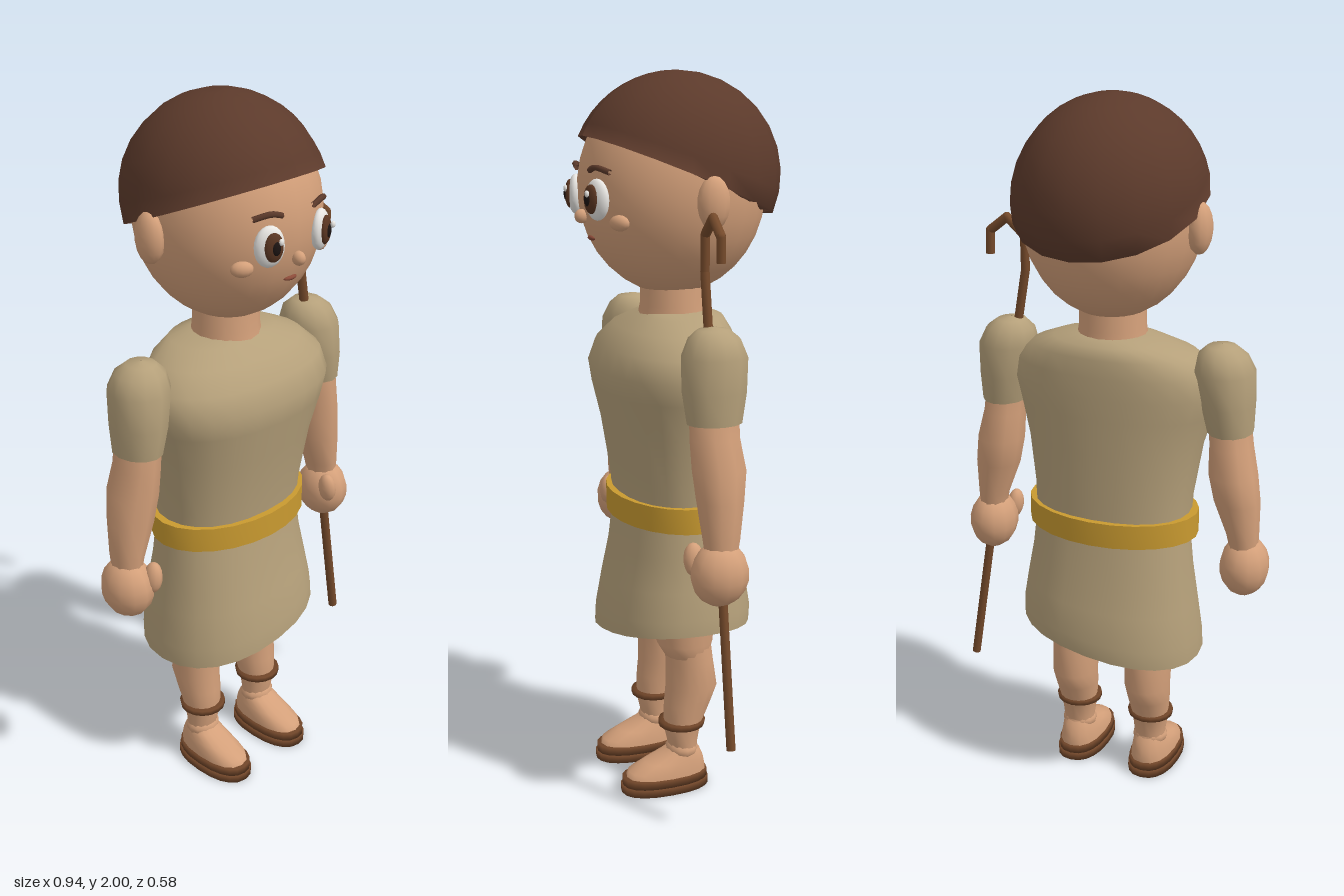
import * as THREE from 'three';

const mat = (name, color, side = THREE.FrontSide) => {
  const m = new THREE.MeshStandardMaterial({ color, side });
  m.name = name;
  return m;
};

// Stacks oval sections, bottom to top: [y, centreX, halfWidth, frontZ, backZ]
function loft(rows, seg = 16, power = 1) {
  const pos = [], idx = [];
  const bend = v => Math.sign(v) * Math.abs(v) ** power;
  rows.forEach(([y, cx, rx, zf, zb]) => {
    for (let j = 0; j < seg; j++) {
      const a = (j / seg) * Math.PI * 2;
      pos.push(cx + rx * bend(Math.sin(a)), y, (zf + zb) / 2 + ((zf - zb) / 2) * bend(Math.cos(a)));
    }
  });
  for (let i = 0; i < rows.length - 1; i++) {
    for (let j = 0; j < seg; j++) {
      const a = i * seg + j, b = i * seg + (j + 1) % seg;
      idx.push(a, b, a + seg, b, b + seg, a + seg);
    }
  }
  const g = new THREE.BufferGeometry();
  g.setAttribute('position', new THREE.Float32BufferAttribute(pos, 3));
  g.setIndex(idx);
  g.computeVertexNormals();
  return g;
}

export function createModel() {
  const skin = mat('skin', 0xd4a07a);
  const hairBrown = mat('hairBrown', 0x5c3a2b, THREE.DoubleSide);
  const cloth = mat('cloth', 0xb5a07a, THREE.DoubleSide);
  const gold = mat('gold', 0xc99a30, THREE.DoubleSide);
  const leather = mat('leather', 0x6e4428);
  const wood = mat('wood', 0x754a2b);
  const white = mat('eyeWhite', 0xf0eeea);
  const iris = mat('iris', 0x5a3622);
  const black = mat('pupil', 0x1c1412);
  const lip = mat('lip', 0x8a4a38);

  const model = new THREE.Group();
  const body = new THREE.Group();
  body.name = 'body';
  body.position.x = -0.013;
  model.add(body);

  const add = (name, geo, material, parent = body) => {
    const m = new THREE.Mesh(geo, material);
    m.name = name;
    parent.add(m);
    return m;
  };
  const ball = (name, material, [x, y, z], [rx, ry, rz], yaw = 0, seg = 12) => {
    const m = add(name, new THREE.SphereGeometry(1, seg, Math.ceil(seg * 0.7)), material);
    m.position.set(x, y, z);
    m.scale.set(rx, ry, rz);
    m.rotation.y = yaw;
    return m;
  };

  // Head and neck
  ball('head', skin, [0, 1.695, 0.002], [0.243, 0.287, 0.256], 0, 24);
  add('neck', loft([[1.33, 0, 0.1, 0.1, -0.1], [1.38, 0, 0.093, 0.09, -0.09], [1.47, 0, 0.09, 0.088, -0.088]]), skin);

  // Hair cap: a dome cut along a plane that drops to the back, with a turned-in rim
  const hair = new THREE.SphereGeometry(1, 18, 10);
  const hp = hair.attributes.position;
  for (let i = 0; i < hp.count; i++) {
    const row = Math.floor(i / 19), a = ((i % 19) / 18) * Math.PI * 2;
    const end = Math.atan2(0.275, 0.118 * Math.cos(a));
    const t = end * Math.min(row, 9) / 9, k = row === 10 ? 0.88 : 1;
    hp.setXYZ(i, 0.26 * Math.sin(t) * Math.sin(a) * k, 1.725 + 0.275 * Math.cos(t),
      -0.01 + 0.285 * Math.sin(t) * Math.cos(a) * k);
  }
  // the sweep runs opposite to the sphere's own, so flip its faces
  const hi = hair.index;
  const v = new THREE.Vector3(), p = [0, 1, 2].map(() => new THREE.Vector3());
  for (let i = 0; i < hi.count; i += 3) {
    p.forEach((q, k) => q.fromBufferAttribute(hp, hi.getX(i + k)));
    const n = p[1].clone().sub(p[0]).cross(p[2].clone().sub(p[0]));
    v.copy(p[0]).add(p[1]).add(p[2]).divideScalar(3).sub(new THREE.Vector3(0, 1.7, 0));
    if (n.dot(v) < 0) {
      const b = hi.getX(i + 1);
      hi.setX(i + 1, hi.getX(i + 2));
      hi.setX(i + 2, b);
    }
  }
  hair.computeVertexNormals();
  add('hair', hair, hairBrown);

  // Face
  ball('nose', skin, [0, 1.625, 0.257], [0.016, 0.019, 0.02]);
  ball('mouth', lip, [0, 1.567, 0.229], [0.023, 0.007, 0.01]);
  for (const s of [-1, 1]) {
    ball('ear', skin, [s * 0.25, 1.672, -0.017], [0.033, 0.069, 0.045]);
    ball('cheek', skin, [s * 0.143, 1.618, 0.2], [0.03, 0.021, 0.018], s * 0.6);
    ball('eyeWhite', white, [s * 0.092, 1.675, 0.243], [0.041, 0.054, 0.022], s * 0.4, 16);
    ball('iris', iris, [s * 0.094, 1.677, 0.26], [0.026, 0.038, 0.013], s * 0.4, 16);
    ball('pupil', black, [s * 0.094, 1.677, 0.268], [0.013, 0.02, 0.009], s * 0.4);
    ball('eyeGlint', white, [s * 0.094 + 0.011, 1.692, 0.275], [0.007, 0.009, 0.006]);
    const brow = new THREE.CatmullRomCurve3([[0.056, 1.748, 0.251], [0.088, 1.757, 0.246], [0.128, 1.746, 0.22]]
      .map(([x, y, z]) => new THREE.Vector3(s * x, y, z)));
    add('eyebrow', new THREE.TubeGeometry(brow, 6, 0.008, 6), hairBrown);
  }

  // Tunic top
  add('tunicTop', loft([
    [0.8, 0, 0.225, 0.155, -0.148], [0.9, 0, 0.23, 0.165, -0.145], [1.05, 0, 0.252, 0.188, -0.145],
    [1.15, 0, 0.28, 0.21, -0.146], [1.21, 0, 0.298, 0.217, -0.146], [1.27, 0, 0.285, 0.195, -0.144],
    [1.32, 0, 0.235, 0.15, -0.14], [1.352, 0, 0.16, 0.1, -0.128], [1.365, 0, 0.09, 0.08, -0.09],
  ], 24, 0.9), cloth);

  // Skirt with a slanted hem
  const skirt = loft([
    [0.46, 0, 0.264, 0.216, -0.2], [0.51, 0, 0.263, 0.213, -0.203], [0.6, 0, 0.25, 0.195, -0.19],
    [0.7, 0, 0.235, 0.172, -0.168], [0.83, 0, 0.222, 0.155, -0.15],
  ], 24, 0.9);
  const sp = skirt.attributes.position;
  for (let i = 0; i < sp.count; i++) {
    const w = Math.max(0, (0.8 - sp.getY(i)) / 0.34);
    sp.setY(i, sp.getY(i) + 0.165 * sp.getX(i) * w);
  }
  skirt.computeVertexNormals();
  add('skirt', skirt, cloth);

  // Belt
  add('belt', loft([[0.79, 0, 0.225, 0.15, -0.14], [0.79, 0, 0.25, 0.18, -0.164]], 24), gold);
  add('belt', loft([[0.79, 0, 0.25, 0.18, -0.164], [0.86, 0, 0.25, 0.18, -0.164]], 24), gold);
  add('belt', loft([[0.86, 0, 0.25, 0.18, -0.164], [0.86, 0, 0.22, 0.15, -0.14]], 24), gold);

  for (const s of [-1, 1]) {
    // Arm
    add('sleeve', loft([
      [1.12, s * 0.34, 0.062, 0.09, -0.06], [1.2, s * 0.332, 0.073, 0.1, -0.075], [1.29, s * 0.322, 0.083, 0.096, -0.08],
      [1.335, s * 0.315, 0.068, 0.075, -0.063], [1.358, s * 0.312, 0.04, 0.05, -0.035], [1.365, s * 0.312, 0.002, 0.01, 0.006],
    ], 12), cloth);
    add('forearm', loft([
      [0.77, s * 0.39, 0.038, 0.058, -0.03], [0.82, s * 0.386, 0.044, 0.064, -0.04], [0.92, s * 0.367, 0.064, 0.074, -0.056],
      [1.0, s * 0.354, 0.067, 0.082, -0.068], [1.08, s * 0.344, 0.059, 0.085, -0.055], [1.14, s * 0.338, 0.057, 0.084, -0.054],
    ], 10), skin);
    ball('hand', skin, [s * 0.392, 0.727, 0.018], [0.069, 0.087, 0.08]);
    const thumb = ball('thumb', skin, [s * 0.35, 0.76, 0.075], [0.024, 0.045, 0.028]);
    thumb.rotation.z = s * 0.12;

    // Leg
    const x = s * 0.116;
    add('shin', loft([
      [0.09, x, 0.045, 0.055, -0.025], [0.13, x, 0.047, 0.058, -0.026], [0.18, x, 0.053, 0.07, -0.035],
      [0.25, x, 0.062, 0.068, -0.065], [0.3, x, 0.066, 0.063, -0.085], [0.38, x, 0.069, 0.062, -0.072], [0.43, x, 0.071, 0.066, -0.065],
    ]), skin);
    add('thigh', loft([
      [0.4, x, 0.066, 0.066, -0.06], [0.44, x, 0.078, 0.09, -0.07], [0.62, x, 0.085, 0.095, -0.085],
    ]), skin);
    ball('ankle', skin, [x, 0.112, 0.018], [0.052, 0.034, 0.046]);
    add('ankleStrap', loft([
      [0.185, x, 0.05, 0.065, -0.035], [0.185, x, 0.066, 0.084, -0.046],
      [0.2, x, 0.067, 0.084, -0.05], [0.2, x, 0.05, 0.065, -0.035],
    ]), leather);

    // Foot on a two-layer sandal sole
    add('foot', loft([
      [0.035, x, 0.062, 0.188, -0.05], [0.06, x, 0.06, 0.178, -0.05], [0.082, x, 0.053, 0.13, -0.045],
      [0.105, x, 0.046, 0.075, -0.035], [0.125, x, 0.035, 0.05, -0.02],
    ], 16, 0.85), skin);
    const sole = (name, y0, y1, g) => add(name, loft([
      [y0, x, 0.002, 0.07, 0.066], [y0, x, 0.066 + g, 0.195 + g, -0.055 - g],
      [y1, x, 0.066 + g, 0.195 + g, -0.055 - g], [y1, x, 0.002, 0.07, 0.066],
    ], 20, 0.85), leather);
    sole('lowerSole', 0, 0.022, 0.004);
    sole('upperSole', 0.022, 0.045, 0);
  }

  // Crook: straight shaft bending into a hook
  const path = new THREE.CurvePath();
  const pts = [[0.455, 0.26], [0.28, 1.36], [0.256, 1.5], [0.257, 1.595], [0.309, 1.642], [0.362, 1.6], [0.363, 1.535]]
    .map(([x, y]) => new THREE.Vector3(x, y, 0.014));
  for (let i = 1; i < pts.length; i++) {
    const a = pts[i - 1], d = pts[i].clone().sub(a);
    const rod = add('crook', new THREE.CylinderGeometry(0.013, 0.013, d.length(), 8), wood, model);
    rod.position.copy(a).addScaledVector(d, 0.5);
    rod.quaternion.setFromUnitVectors(new THREE.Vector3(0, 1, 0), d.normalize());
    if (i < pts.length - 1) {
      const joint = add('crookBend', new THREE.SphereGeometry(0.013, 8, 6), wood, model);
      joint.position.copy(pts[i]);
    }
  }
  return model;
}
